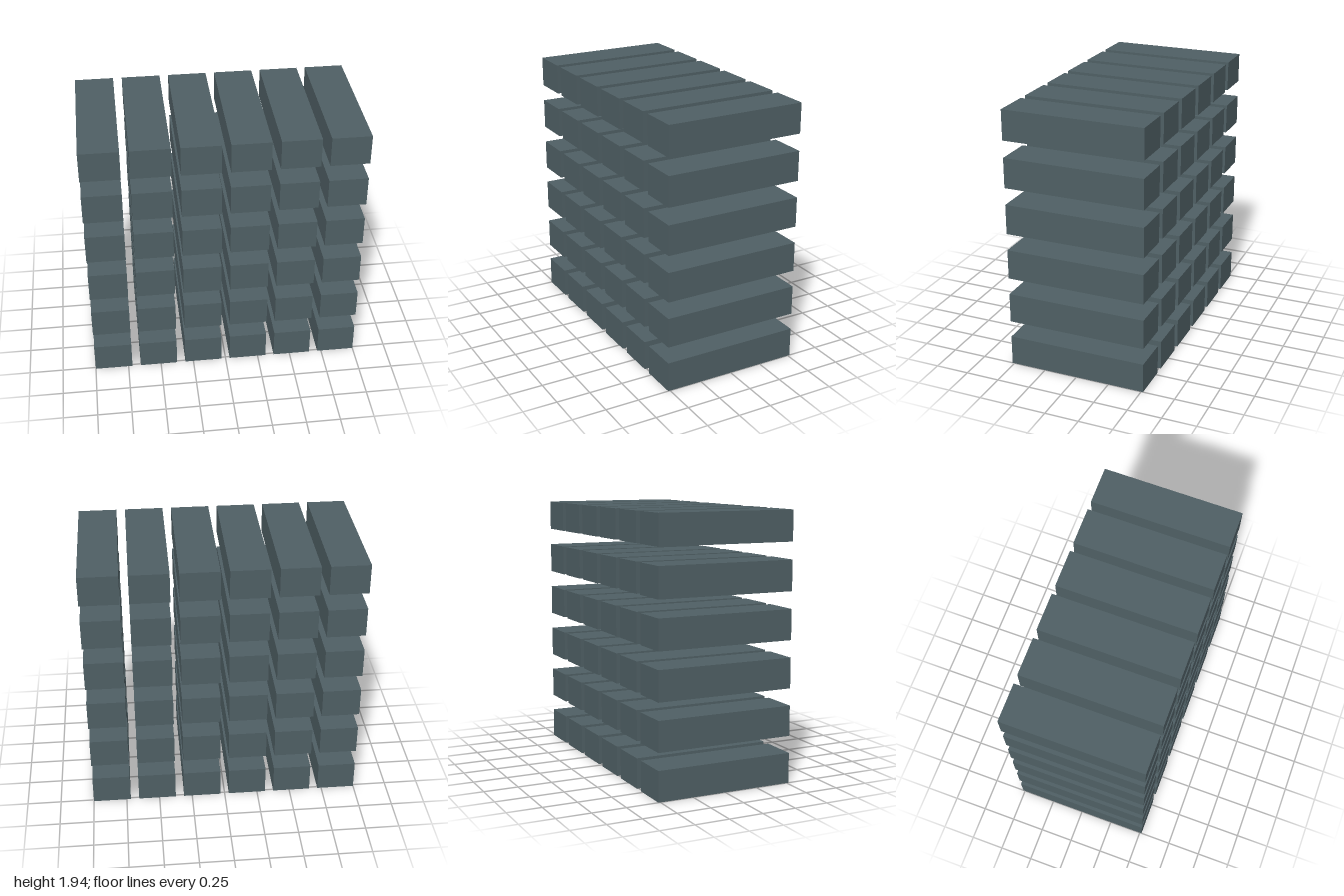
import * as THREE from 'three';

const COUNT = 6;
const WIDTH = 0.28, HEIGHT = 0.22, DEPTH = 1.03;
const PITCH = (2 - WIDTH) / (COUNT - 1); // same spacing across and up

export function createModel() {
  const model = new THREE.Group();
  model.name = 'blockStack';
  const material = new THREE.MeshStandardMaterial({ color: 0x4f5f64 });
  const geometry = new THREE.BoxGeometry(WIDTH, HEIGHT, DEPTH);

  // Six separate layers, each a row of six long blocks
  for (let row = 0; row < COUNT; row++) {
    const layer = new THREE.Group();
    layer.name = `layer${row + 1}`;
    layer.position.y = HEIGHT / 2 + row * PITCH;
    for (let col = 0; col < COUNT; col++) {
      const block = new THREE.Mesh(geometry, material);
      block.name = `block${col + 1}`;
      block.position.x = (col - (COUNT - 1) / 2) * PITCH;
      layer.add(block);
    }
    model.add(layer);
  }
  return model;
}
